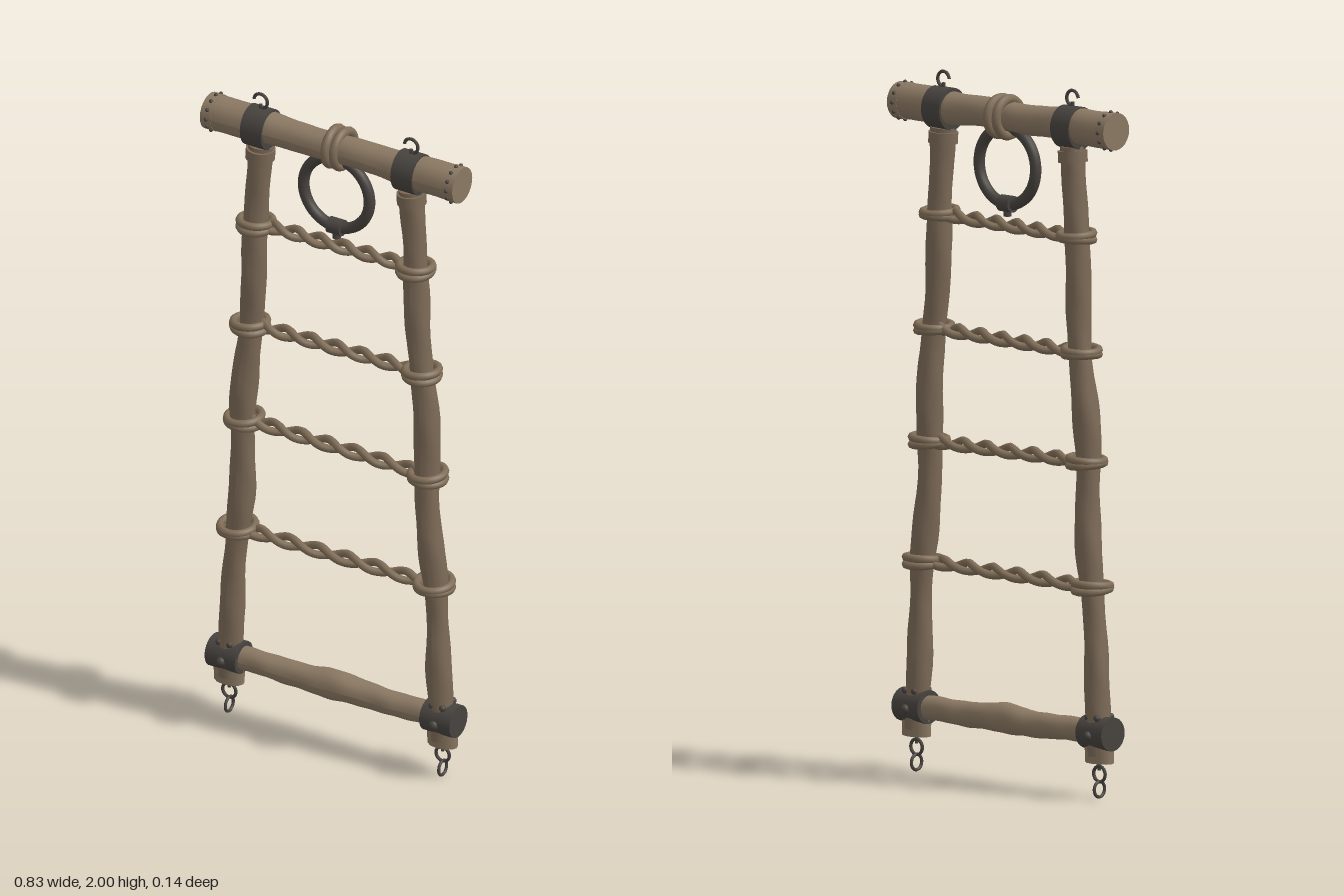
import * as THREE from 'three';

const mat = (name, color) => Object.assign(new THREE.MeshStandardMaterial({ color }), { name });

export function createModel() {
  const root = new THREE.Group();
  root.name = 'ropeLadder';
  const barWood = mat('barWood', 0x8a7862);
  const railWood = mat('railWood', 0x7c6a57);
  const rope = mat('rope', 0x7f6d57);
  const iron = mat('iron', 0x47433f);

  const add = (name, geometry, material, x = 0, y = 0, z = 0, rx = 0, ry = 0, rz = 0) => {
    const m = new THREE.Mesh(geometry, material);
    m.name = name;
    m.position.set(x, y, z);
    m.rotation.set(rx, ry, rz);
    root.add(m);
    return m;
  };
  const V = (x, y, z) => new THREE.Vector3(x, y, z);
  const mix = THREE.MathUtils.lerp;

  // Gnarled pole along y, from y0 to y1, with radii spread evenly along it
  function pole(length, radii, knots, sway, seed) {
    const g = new THREE.CylinderGeometry(1, 1, 1, 18, 48);
    const p = g.attributes.position;
    for (let i = 0; i < p.count; i++) {
      const x = p.getX(i), z = p.getZ(i), t = p.getY(i) + 0.5;
      const f = t * (radii.length - 1), k = Math.min(Math.floor(f), radii.length - 2);
      const a = Math.atan2(z, x);
      const bump = 1 + knots * (Math.sin(t * 37 + 2 * a + seed) + Math.sin(t * 61 - 3 * a + seed * 2));
      const r = mix(radii[k], radii[k + 1], THREE.MathUtils.smoothstep(f - k, 0, 1)) * bump;
      const fade = Math.sin(Math.PI * t);
      p.setXYZ(i, x * r + sway * fade * Math.sin(t * 17 + seed), (t - 0.5) * length,
        z * r + sway * 0.5 * fade * Math.cos(t * 21 + seed));
    }
    g.computeVertexNormals();
    return g;
  }

  // Top and bottom bars
  add('topBar', pole(0.83, [0.052, 0.051, 0.043, 0.042, 0.043, 0.051, 0.052], 0.008, 0.003, 1),
    barWood, 0, 1.897, 0, 0, 0, -Math.PI / 2);
  add('bottomBar', pole(0.8, [0.034, 0.034, 0.036, 0.043, 0.036, 0.034, 0.034], 0.02, 0.003, 2),
    barWood, 0, 0.186, 0, 0, 0, -Math.PI / 2);

  const railX = (y) => mix(0.353, 0.249, (y - 0.15) / 1.68);
  const stud = new THREE.SphereGeometry(1, 10, 8);
  const addStud = (name, r, x, y, z) => add(name, stud, iron, x, y, z).scale.setScalar(r);

  for (const s of [-1, 1]) {
    // Leaning side rail with a collar at its head and a block at its foot
    const lean = Math.atan2(s * 0.104, 1.68);
    add('rail', pole(1.72, [0.034, 0.037, 0.031, 0.038, 0.034, 0.039, 0.033, 0.037, 0.034, 0.036],
      0.03, 0.006, s + 3), railWood, s * railX(0.98), 0.98, 0, 0, 0, lean);
    add('railCollar', new THREE.CylinderGeometry(0.042, 0.042, 0.032, 20), railWood, s * 0.25, 1.81, 0, 0, 0, lean);
    add('railFoot', new THREE.CylinderGeometry(0.049, 0.047, 0.06, 12), barWood, s * 0.353, 0.132, 0)
      .scale.z = 0.66;

    // Banded end of the top bar with its nails
    add('endBand', new THREE.CylinderGeometry(0.053, 0.053, 0.035, 24), barWood,
      s * 0.4, 1.897, 0, 0, 0, Math.PI / 2);
    for (let i = 0; i < 12; i++) {
      const a = i * Math.PI / 6;
      addStud('bandNail', 0.006, s * 0.397, 1.897 + 0.053 * Math.cos(a), 0.053 * Math.sin(a));
    }

    // Upper cuff and open hook
    add('upperCuff', new THREE.CylinderGeometry(0.055, 0.055, 0.07, 24), iron,
      s * 0.249, 1.892, 0, 0, 0, Math.PI / 2).scale.x = 1.1;
    add('hookStem', new THREE.CylinderGeometry(0.005, 0.005, 0.02, 8), iron, s * 0.249, 1.954, 0);
    add('hook', new THREE.TorusGeometry(0.022, 0.0048, 8, 24, 4.6), iron, s * 0.249, 1.974, 0, 0, 0, -Math.PI / 2);

    // Lower cuff with bolts
    add('lowerCuff', new THREE.CylinderGeometry(0.048, 0.048, 0.1, 20), iron,
      s * 0.355, 0.187, 0, 0, 0, Math.PI / 2);
    for (const z of [-1, 1]) {
      addStud('cuffBolt', 0.014, s * 0.352, 0.182, z * 0.046);
      addStud('cuffStud', 0.01, s * 0.335, 0.232, z * 0.028);
      addStud('cuffStud', 0.01, s * 0.37, 0.232, z * 0.028);
    }

    // Hanging chain links
    add('linkStem', new THREE.CylinderGeometry(0.005, 0.005, 0.03, 8), iron, s * 0.353, 0.095, 0);
    add('upperLink', new THREE.TorusGeometry(0.022, 0.0048, 8, 24), iron, s * 0.353, 0.07, 0);
    add('lowerLink', new THREE.TorusGeometry(0.021, 0.0045, 8, 24), iron, s * 0.353, 0.0265, 0, 0, Math.PI / 2)
      .scale.y = 1.04;
  }

  // Twisted rope rungs, each lashed round both rails
  [[1.588, 0.004], [1.262, 0.004], [0.947, -0.003], [0.6, 0.002]].forEach(([y, tilt], n) => {
    const half = railX(y) + 0.012;
    for (const phase of [0, Math.PI]) {
      const pts = [];
      for (let i = 0; i <= 60; i++) {
        const t = i / 60, a = t * Math.PI * 7 + phase + n;
        pts.push(V(mix(-half, half, t), y + tilt * (2 * t - 1) + 0.012 * Math.cos(a), 0.015 * Math.sin(a)));
      }
      add('rungStrand', new THREE.TubeGeometry(new THREE.CatmullRomCurve3(pts), 120, 0.0115, 8), rope);
    }
    for (const s of [-1, 1]) {
      for (const k of [-1, 1]) {
        const pts = [];
        for (let i = 0; i < 16; i++) {
          const a = i * Math.PI / 8, r = 0.046 + n * 0.001;
          pts.push(V(s * railX(y) + r * Math.cos(a), y + s * tilt + k * (0.007 + 0.004 * Math.sin(a + n)),
            (r + 0.003) * Math.sin(a)));
        }
        add('lashing', new THREE.TubeGeometry(new THREE.CatmullRomCurve3(pts, true), 40, 0.0115, 8, true), rope);
      }
    }
  });

  // Hanging ring, its clasp and the two loops that hold it
  add('hangingRing', new THREE.TorusGeometry(0.109, 0.0165, 12, 48), iron, 0.002, 1.755, 0);
  add('ringClasp', new THREE.CylinderGeometry(0.024, 0.024, 0.045, 16), iron, 0.002, 1.648, 0, 0, 0, Math.PI / 2);
  add('claspPin', new THREE.CylinderGeometry(0.012, 0.012, 0.03, 10), iron, 0.002, 1.627, 0);
  for (const [x, tilt] of [[-0.011, 0.03], [0.02, -0.03]]) {
    add('ringLoop', new THREE.TorusGeometry(0.052, 0.0135, 10, 32), rope, x, 1.895, -0.009, 0, Math.PI / 2 + tilt, 0);
  }

  return root;
}
